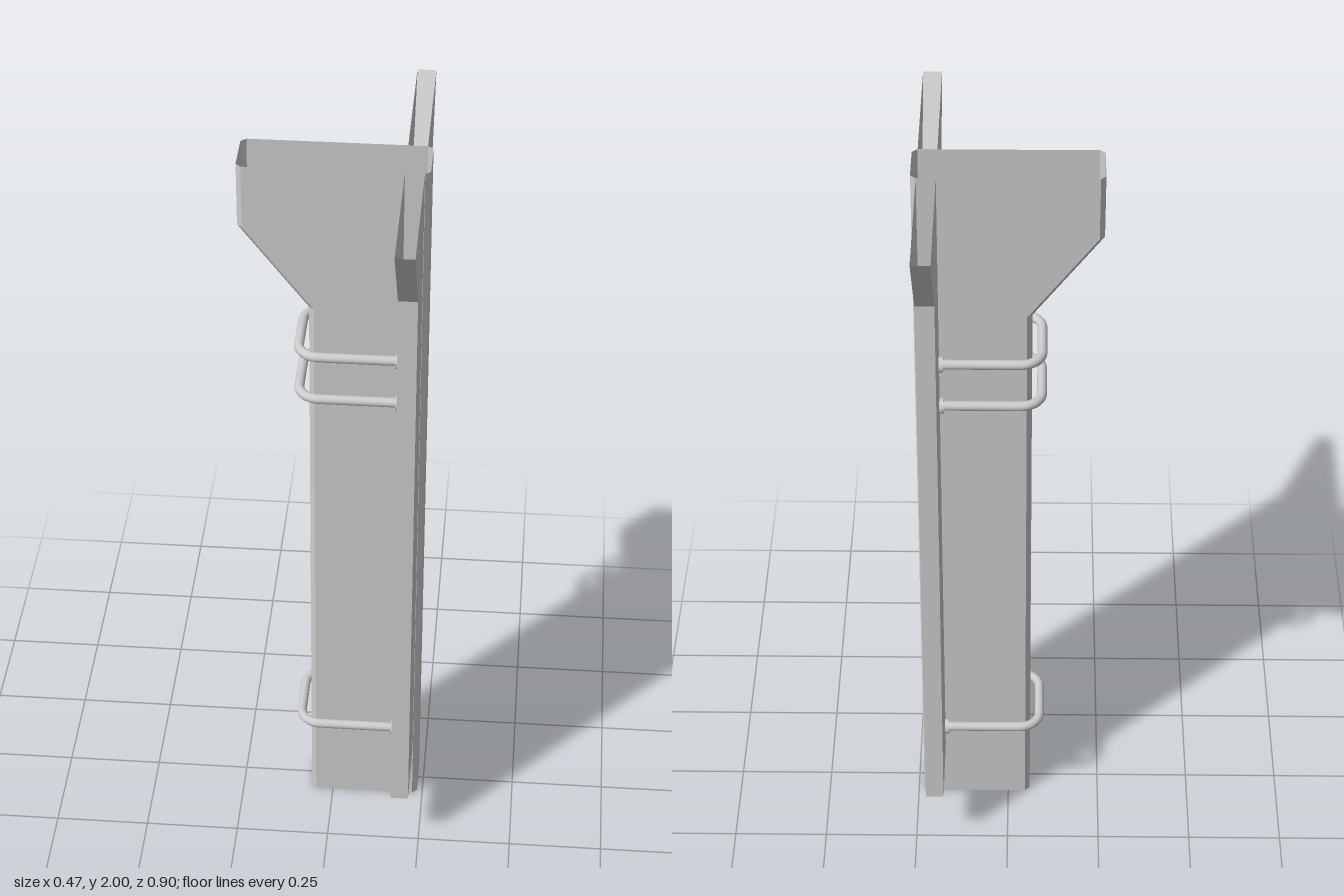
import * as THREE from 'three';

const flat = new THREE.MeshStandardMaterial({ color: 0xcccccc, flatShading: true, side: THREE.DoubleSide });
const smooth = new THREE.MeshStandardMaterial({ color: 0xcccccc, side: THREE.DoubleSide });

// Open-ended sheet walls joining horizontal sections: levels = [[y, [[x, z], ...]], ...]
function loft(levels, closed) {
  const pos = [];
  for (let i = 0; i < levels.length - 1; i++) {
    const [y0, a] = levels[i], [y1, b] = levels[i + 1];
    const n = a.length;
    for (let j = 0; j < (closed ? n : n - 1); j++) {
      const k = (j + 1) % n;
      const p = [a[j][0], y0, a[j][1]], q = [a[k][0], y0, a[k][1]];
      const r = [b[k][0], y1, b[k][1]], s = [b[j][0], y1, b[j][1]];
      pos.push(...p, ...q, ...r, ...p, ...r, ...s);
    }
  }
  const g = new THREE.BufferGeometry();
  g.setAttribute('position', new THREE.Float32BufferAttribute(pos, 3));
  g.computeVertexNormals();
  return g;
}

function add(parent, name, geometry, material) {
  const mesh = new THREE.Mesh(geometry, material);
  mesh.name = name;
  parent.add(mesh);
  return mesh;
}

// Chamfered rectangular section of the post, with its left wall at x = l
function postSection(l) {
  const r = 0.235, w = 0.067, c = 0.013, v = w - c;
  return [[l, -v], [l, v], [l + c, w], [r - c, w], [r, v], [r, -v], [r - c, -w], [l + c, -w]];
}

// Wing section reaching out to z = end, open on the post side
const wingSection = (end) => [[-0.024, 0.067], [-0.024, end], [0.024, end], [0.024, 0.067]];

// U-shaped rod with a round nut on each end
function uBolt(y) {
  const group = new THREE.Group();
  group.name = 'uBolt';
  group.position.y = y;
  const end = 0.172, left = -0.0855, z = 0.111, r = 0.055, k = r * 0.4477;
  const V = (x, zz) => new THREE.Vector3(x, 0, zz);
  const path = new THREE.CurvePath();
  path.add(new THREE.LineCurve3(V(end, z), V(left + r, z)));
  path.add(new THREE.CubicBezierCurve3(V(left + r, z), V(left + k, z), V(left, z - k), V(left, z - r)));
  path.add(new THREE.LineCurve3(V(left, z - r), V(left, r - z)));
  path.add(new THREE.CubicBezierCurve3(V(left, r - z), V(left, k - z), V(left + k, -z), V(left + r, -z)));
  path.add(new THREE.LineCurve3(V(left + r, -z), V(end, -z)));
  add(group, 'rod', new THREE.TubeGeometry(path, 100, 0.0125, 16), smooth);
  for (const s of [1, -1]) {
    const nut = add(group, 'nut', new THREE.CylinderGeometry(0.02, 0.02, 0.011, 24), smooth);
    nut.rotation.z = Math.PI / 2;
    nut.position.set(end - 0.0055, 0, s * z);
  }
  return group;
}

export function createModel() {
  const model = new THREE.Group();
  model.name = 'bracketPost';

  // Hollow post widening into a corbel at the top
  add(model, 'post', loft([
    [0, postSection(-0.06)], [1.6, postSection(-0.06)],
    [1.83, postSection(-0.235)], [2, postSection(-0.235)],
  ], true), flat);

  // Hollow side wings, flared at the top
  const wingGeometry = loft([
    [0.175, wingSection(0.28)], [1.775, wingSection(0.28)], [2, wingSection(0.449)],
  ], false);
  for (const turn of [0, Math.PI]) {
    const wing = add(model, turn ? 'rearWing' : 'frontWing', wingGeometry, flat);
    wing.position.x = 0.197;
    wing.rotation.y = turn;
  }

  // Rods clamped around the post
  for (const y of [0.28, 1.362, 1.488]) model.add(uBolt(y));
  return model;
}
